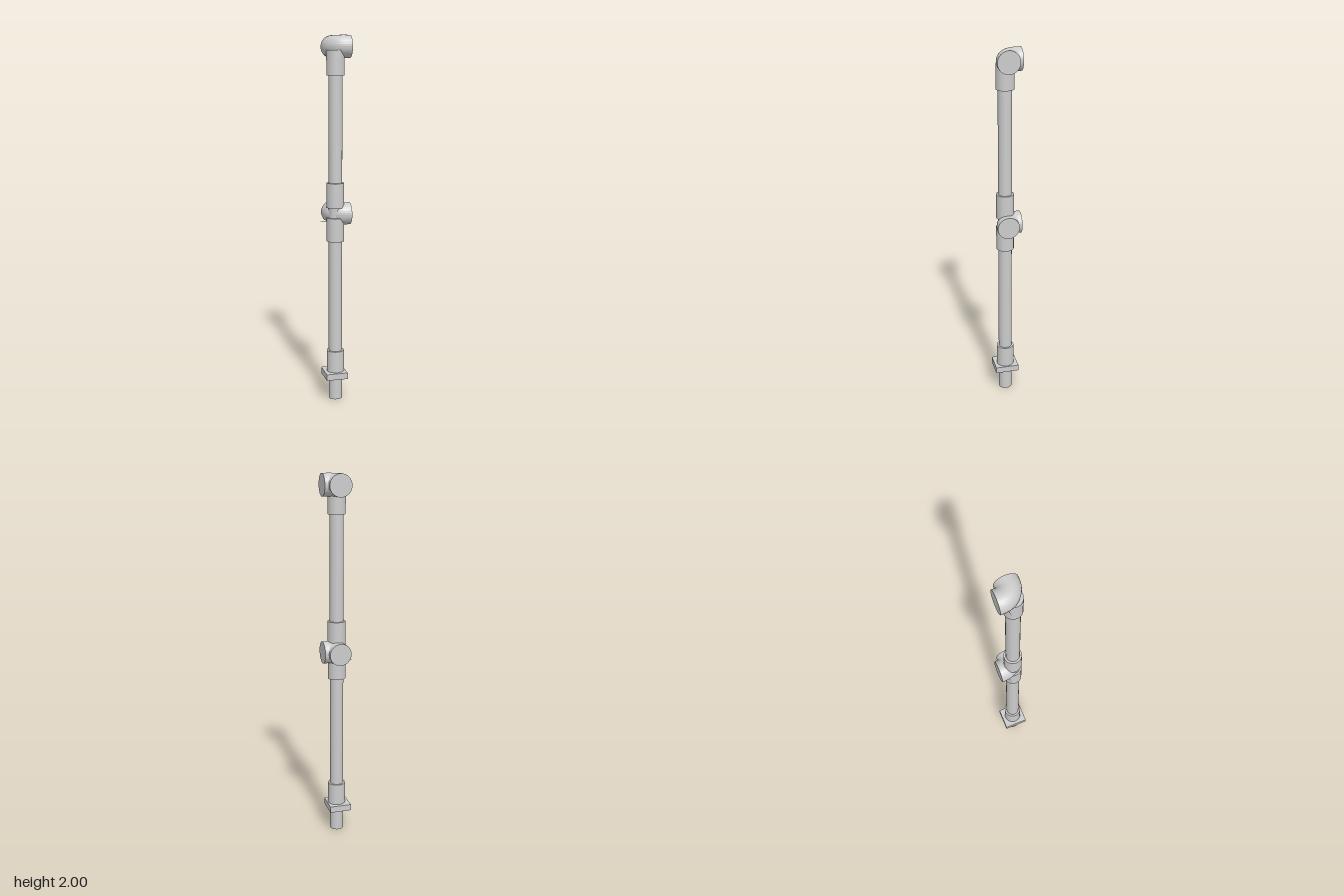
import * as THREE from 'three';

const CX = 0, CZ = 0.008; // pole axis
const material = new THREE.MeshStandardMaterial({ color: 0xcccccc, flatShading: true });

function add(parent, name, geometry, x = 0, y = 0, z = 0) {
  const mesh = new THREE.Mesh(geometry, material);
  mesh.name = name;
  mesh.position.set(x, y, z);
  parent.add(mesh);
  return mesh;
}

// Upright cylinder on the pole axis between two heights
function upright(parent, name, radius, y0, y1) {
  add(parent, name, new THREE.CylinderGeometry(radius, radius, y1 - y0, 32), CX, (y0 + y1) / 2, CZ);
}

// Horizontal corner fitting: quarter bend with a short capped stub at each end
function elbow(parent, name, y) {
  const r = 0.06, stub = 0.02;
  const group = new THREE.Group();
  group.name = name;
  group.position.set(0, y, 0.005);
  parent.add(group);

  const bend = new THREE.TorusGeometry(r, r, 32, 16, Math.PI / 2);
  bend.rotateX(Math.PI / 2).rotateY(-Math.PI / 2);
  add(group, 'bend', bend, r, 0, -r);

  const stubGeo = () => new THREE.CylinderGeometry(r, r, stub, 32);
  add(group, 'sideStub', stubGeo().rotateZ(Math.PI / 2), r + stub / 2, 0, 0);
  add(group, 'backStub', stubGeo().rotateX(Math.PI / 2), 0, 0, -r - stub / 2);

  // Thin pin sticking out below the bend
  const pin = new THREE.ConeGeometry(0.002, 0.045, 8).rotateZ(Math.PI / 2);
  add(group, 'pin', pin, -0.0575, -0.044, -0.033);
}

export function createModel() {
  const model = new THREE.Group();
  model.name = 'railPost';

  // Pole sections, including the foot spigot
  upright(model, 'footSpigot', 0.037, 0, 0.14);
  upright(model, 'lowerPole', 0.037, 0.14, 1.05);
  upright(model, 'upperPole', 0.037, 1.05, 1.91);

  // Base plate
  add(model, 'basePlate', new THREE.BoxGeometry(0.12, 0.035, 0.132), -0.005, 0.1425, 0.007);

  // Sleeves around the pole
  const sleeves = [
    ['baseSleeve', 0.16, 0.28],
    ['middleLowerSleeve', 0.9, 1.03],
    ['middleUpperSleeve', 1.085, 1.22],
    ['topSleeve', 1.79, 1.92],
  ];
  for (const [name, y0, y1] of sleeves) upright(model, name, 0.048, y0, y1);

  // Corner fittings
  elbow(model, 'middleElbow', 1.05);
  elbow(model, 'topElbow', 1.94);

  return model;
}
